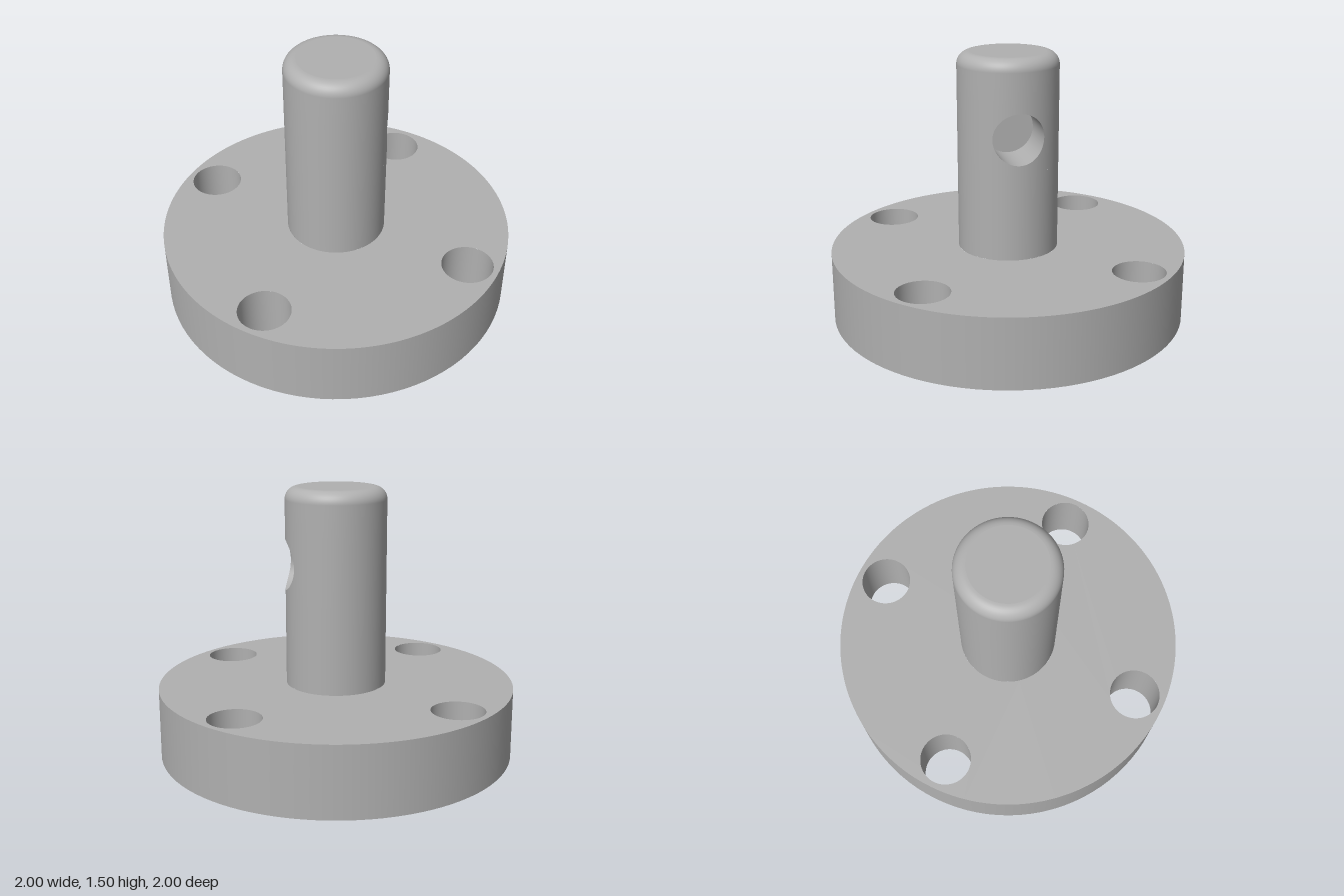
import * as THREE from 'three';

const SEG = 96, PI = Math.PI;
const FLANGE = { r: 1, top: 0.393 };
const BOLT = { r: 0.145, at: 0.582 };
const BORE = { r: 0.39, depth: 0.11 };
const PIN = { r: 0.281, top: 1.503, fillet: 0.07 };
const CROSS = { r: 0.142, y: 1.073, floor: 0 };       // blind side hole
const PATCH = { angle: PI / 4, half: 0.19 };          // pin area around the side hole

// Surface of revolution; a profile running upward faces outward
function turned(points, seg = SEG, start = 0, length = 2 * PI) {
  return new THREE.LatheGeometry(points.map(([r, y]) => new THREE.Vector2(r, y)), seg, start, length);
}

// Smooth strip: fn(u, v) gives [position, normal]
function strip(nu, nv, fn) {
  const pos = [], nor = [], idx = [];
  for (let i = 0; i <= nu; i++) {
    for (let j = 0; j <= nv; j++) {
      const [p, n] = fn(i / nu, j / nv);
      pos.push(...p);
      nor.push(...n);
      if (i < nu && j < nv) {
        const a = i * (nv + 1) + j, b = a + nv + 1;
        idx.push(a, a + 1, b + 1, a, b + 1, b);
      }
    }
  }
  const g = new THREE.BufferGeometry();
  g.setAttribute('position', new THREE.Float32BufferAttribute(pos, 3));
  g.setAttribute('normal', new THREE.Float32BufferAttribute(nor, 3));
  g.setIndex(idx);
  return g;
}

// Flange face with four bolt holes and a round centre opening
function flangeFace(openingRadius, up) {
  const shape = new THREE.Shape().absarc(0, 0, FLANGE.r, 0, 2 * PI);
  const cut = (x, y, r) => shape.holes.push(new THREE.Path().absarc(x, y, r, 0, 2 * PI, true));
  cut(0, 0, openingRadius);
  for (const sx of [-1, 1]) for (const sy of [-1, 1]) cut(sx * BOLT.at, sy * BOLT.at, BOLT.r);
  return new THREE.ShapeGeometry(shape, SEG).rotateX(up ? -PI / 2 : PI / 2);
}

export function createModel() {
  const model = new THREE.Group();
  const grey = new THREE.MeshStandardMaterial({ color: 0xb0b0b0 });
  grey.name = 'steel grey';

  const flange = new THREE.Group();
  flange.name = 'flange';
  const pin = new THREE.Group();
  pin.name = 'pin';
  model.add(flange, pin);
  const add = (parent, name, geometry) => {
    const mesh = new THREE.Mesh(geometry, grey);
    mesh.name = name;
    parent.add(mesh);
    return mesh;
  };

  // Flange disc
  add(flange, 'flangeTop', flangeFace(PIN.r, true)).position.y = FLANGE.top;
  add(flange, 'flangeBottom', flangeFace(BORE.r, false));
  add(flange, 'flangeRim', turned([[FLANGE.r, 0], [FLANGE.r, FLANGE.top]]));

  // Bolt hole walls
  for (const sx of [-1, 1]) for (const sz of [-1, 1]) {
    const wall = add(flange, 'boltHole', turned([[BOLT.r, FLANGE.top], [BOLT.r, 0]]));
    wall.position.set(sx * BOLT.at, 0, sz * BOLT.at);
  }

  // Shallow recess underneath
  add(flange, 'recessWall', turned([[BORE.r, BORE.depth], [BORE.r, 0]]));
  add(flange, 'recessCeiling', new THREE.CircleGeometry(BORE.r, SEG).rotateX(PI / 2)).position.y = BORE.depth;

  // Pin below, beside and above the side hole
  const y0 = CROSS.y - PATCH.half, y1 = CROSS.y + PATCH.half;
  add(pin, 'pinLower', turned([[PIN.r, FLANGE.top], [PIN.r, y0]]));
  add(pin, 'pinMiddle', turned([[PIN.r, y0], [PIN.r, y1]], SEG * 0.75,
    PI / 2 + PATCH.angle, 2 * PI - 2 * PATCH.angle));
  const rim = PIN.r - PIN.fillet, shoulder = PIN.top - PIN.fillet;
  const profile = [[PIN.r, y1]];
  for (let i = 0; i <= 10; i++) {
    const a = (i / 10) * PI / 2;
    profile.push([rim + PIN.fillet * Math.cos(a), shoulder + PIN.fillet * Math.sin(a)]);
  }
  add(pin, 'pinUpper', turned(profile));
  add(pin, 'pinEnd', new THREE.CircleGeometry(rim, SEG).rotateX(-PI / 2)).position.y = PIN.top;

  // Curved patch from the hole edge out to a rectangle
  add(pin, 'pinHoleSurround', strip(SEG, 8, (u, v) => {
    const a = u * 2 * PI, c = Math.cos(a), s = Math.sin(a), m = Math.max(Math.abs(c), Math.abs(s));
    const t = THREE.MathUtils.lerp(Math.asin(CROSS.r * c / PIN.r), PATCH.angle * c / m, v);
    const y = CROSS.y + THREE.MathUtils.lerp(CROSS.r * s, PATCH.half * s / m, v);
    const n = [Math.cos(t), 0, -Math.sin(t)];
    return [[PIN.r * n[0], y, PIN.r * n[2]], n];
  }));

  // Blind side hole: wall and flat floor
  add(pin, 'sideHoleWall', strip(SEG, 1, (u, v) => {
    const c = Math.cos(u * 2 * PI), s = Math.sin(u * 2 * PI);
    const edge = Math.sqrt(PIN.r ** 2 - (CROSS.r * c) ** 2);
    return [[THREE.MathUtils.lerp(CROSS.floor, edge, v), CROSS.y + CROSS.r * s, -CROSS.r * c], [0, -s, c]];
  }));
  add(pin, 'sideHoleFloor', new THREE.CircleGeometry(CROSS.r, SEG).rotateY(PI / 2))
    .position.set(CROSS.floor, CROSS.y, 0);

  return model;
}
